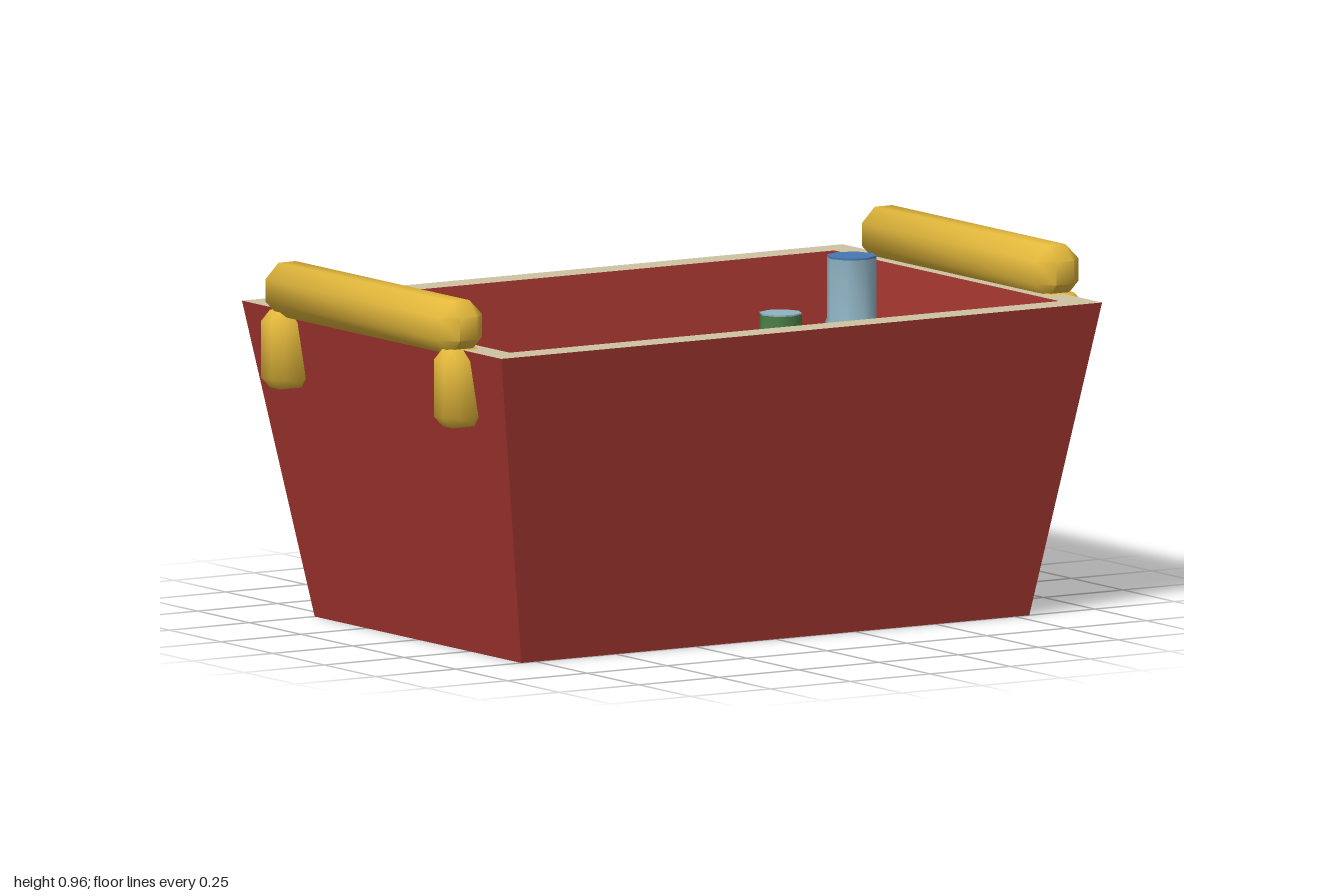
import * as THREE from 'three';
import { toCreasedNormals } from 'three/addons/utils/BufferGeometryUtils.js';
import { ConvexGeometry } from 'three/addons/geometries/ConvexGeometry.js';

const mat = (name, color) => {
  const m = new THREE.MeshStandardMaterial({ color });
  m.name = name;
  return m;
};

// Flat-shaded walls joining rectangles [halfX, y, halfZ]
function rectLoft(sections) {
  const signs = [[1, 1], [1, -1], [-1, -1], [-1, 1]];
  const pos = [];
  for (let s = 0; s < sections.length - 1; s++) {
    for (let i = 0; i < 4; i++) {
      const corner = ([hx, y, hz], k) => [signs[k % 4][0] * hx, y, signs[k % 4][1] * hz];
      const a = corner(sections[s], i), b = corner(sections[s], i + 1);
      const c = corner(sections[s + 1], i + 1), d = corner(sections[s + 1], i);
      pos.push(...a, ...b, ...c, ...a, ...c, ...d);
    }
  }
  const g = new THREE.BufferGeometry();
  g.setAttribute('position', new THREE.Float32BufferAttribute(pos, 3));
  g.computeVertexNormals();
  return g;
}

// Box with single-cut chamfers and soft shading
function chamferBox(w, h, d, c) {
  const pts = [];
  for (const x of [-w / 2, w / 2]) for (const y of [-h / 2, h / 2]) for (const z of [-d / 2, d / 2]) {
    const ix = x - Math.sign(x) * c, iy = y - Math.sign(y) * c, iz = z - Math.sign(z) * c;
    pts.push(new THREE.Vector3(x, iy, iz), new THREE.Vector3(ix, y, iz), new THREE.Vector3(ix, iy, z));
  }
  return toCreasedNormals(new ConvexGeometry(pts), Math.PI / 3);
}

export function createModel() {
  const model = new THREE.Group();
  const red = mat('crate red', 0xa43630), cream = mat('rim cream', 0xcfc3a3);
  const yellow = mat('yellow', 0xe3b83c), tan = mat('tan', 0xc4b08c);
  const bright = mat('package red', 0xb0322e), pale = mat('pale blue', 0x8fb3c2);
  const blue = mat('blue', 0x4878b4), green = mat('green', 0x4c8048);
  const orange = mat('orange', 0xcc7e38), brown = mat('brown', 0x98622c);

  const add = (name, geometry, material, parent = model) => {
    const m = new THREE.Mesh(geometry, material);
    m.name = name;
    parent.add(m);
    return m;
  };
  // Chamfered box given by its extents on each axis
  const box = (name, [x0, x1], [y0, y1], [z0, z1], c, material) => {
    const m = add(name, chamferBox(x1 - x0, y1 - y0, z1 - z0, c), material);
    m.position.set((x0 + x1) / 2, (y0 + y1) / 2, (z0 + z1) / 2);
    return m;
  };

  // Tapered open crate
  const floor = 0.03, top = 0.835;
  add('crateOutside', rectLoft([[0, 0, 0], [0.795, 0, 0.5], [0.94, top, 0.628]]), red);
  add('crateRim', rectLoft([[0.94, top, 0.628], [0.86, top, 0.545]]), cream);
  add('crateInside', rectLoft([[0.86, top, 0.545], [0.715, floor, 0.42], [0, floor, 0]]), red);

  // Handles: one bar and two brackets at each end
  for (const s of [-1, 1]) {
    const side = s > 0 ? 'left' : 'right';
    const xs = s > 0 ? [0.866, 1] : [-1, -0.866];
    box(side + 'HandleBar', xs, [0.822, 0.963], [-0.46, 0.46], 0.04, yellow);
    for (const z of [-0.418, 0.418])
      box(side + 'HandleBracket', xs, [0.63, 0.837], [z - 0.052, z + 0.052], 0.028, yellow);
  }

  // Packages
  box('yellowPackage', [-0.71, -0.3], [floor, 0.63], [-0.02, 0.27], 0.03, yellow);
  box('tanPackage', [-0.59, 0], [floor, 0.32], [-0.46, -0.13], 0.05, tan);
  box('redPackage', [-0.27, 0.1], [0.29, 0.56], [-0.36, -0.06], 0.04, bright);
  box('brownPackage', [0.29, 0.71], [floor, 0.36], [-0.42, -0.09], 0.085, brown);
  box('orangePackage', [0.335, 0.665], [0.3, 0.49], [-0.37, -0.14], 0.025, orange).rotation.y = 0.14;

  // Eight-sided bottles with a coloured cap disc
  const bottle = (name, x, z, r, neck, shoulder, collar, height, body, cap) => {
    const g = new THREE.Group();
    g.name = name;
    g.position.set(x, 0, z);
    const profile = [[0, floor], [r, floor], [r, shoulder], [neck, collar], [neck, height - 0.004]];
    const lathe = new THREE.LatheGeometry(profile.map(p => new THREE.Vector2(...p)), 8);
    add(name + 'Body', toCreasedNormals(lathe, Math.PI / 3.5), body, g);
    const disc = add(name + 'Cap', toCreasedNormals(new THREE.CylinderGeometry(neck, neck, 0.005, 8), 1), cap, g);
    disc.position.y = height - 0.0025;
    model.add(g);
  };
  bottle('blueBottle', 0.457, 0.163, 0.133, 0.067, 0.58, 0.775, 0.942, pale, blue);
  bottle('greenBottle', 0.207, 0.206, 0.116, 0.057, 0.48, 0.65, 0.815, green, pale);

  return model;
}
